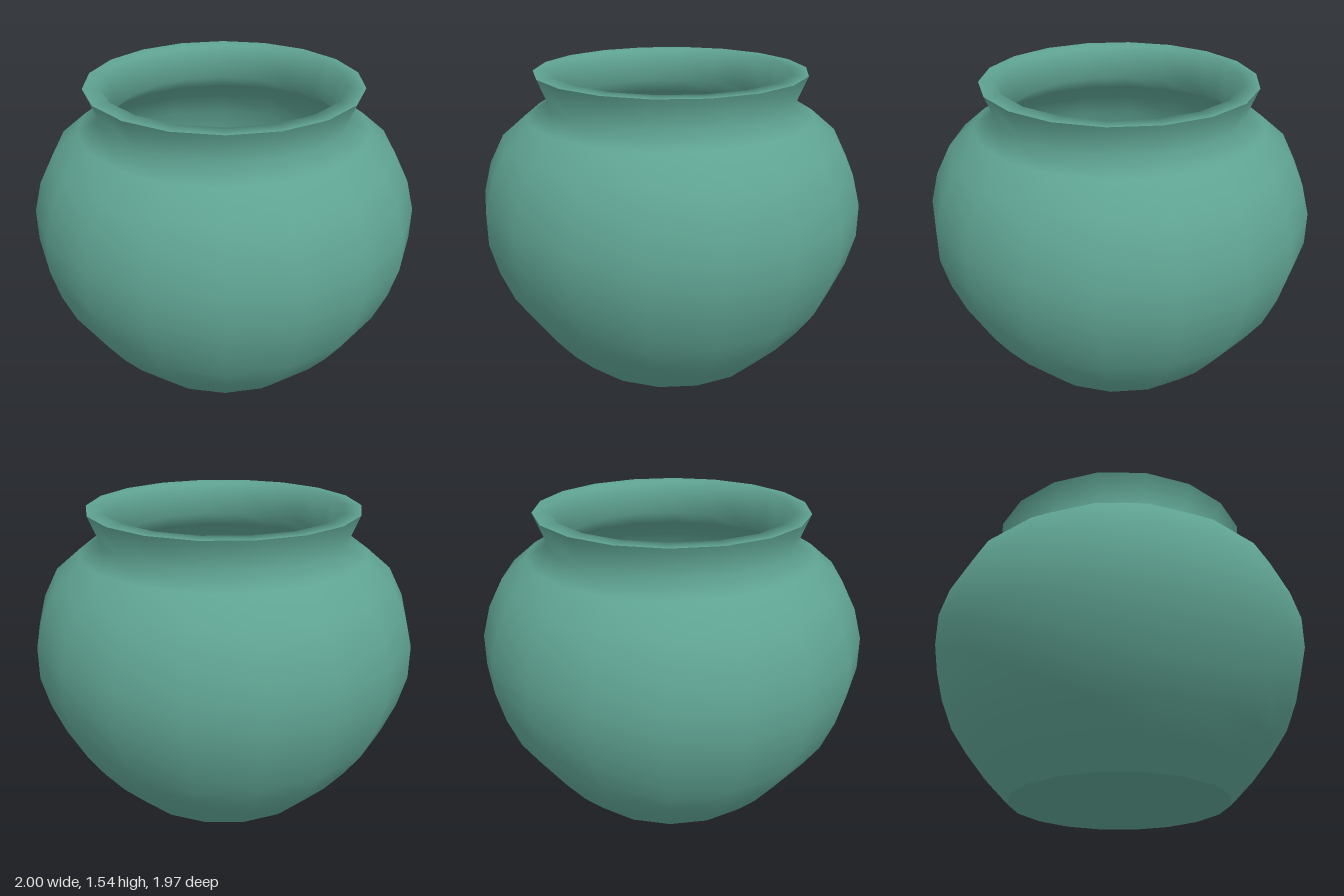
import * as THREE from 'three';

const SIDES = 18;

export function createModel() {
  const pot = new THREE.Group();
  pot.name = 'pot';
  const glaze = new THREE.MeshStandardMaterial({ color: 0x5fa392 });

  // Turns a profile of [radius, height] points; a vertex column lies on the x axis.
  function turn(name, profile) {
    const points = profile.map(([r, y]) => new THREE.Vector2(r, y));
    const geometry = new THREE.LatheGeometry(points, SIDES, Math.PI / 2);
    const mesh = new THREE.Mesh(geometry, glaze);
    mesh.name = name;
    pot.add(mesh);
  }

  // Flat underside
  turn('base', [[0, 0], [0.57, 0]]);

  // Round belly, pinched neck and flared collar
  turn('outerWall', [
    [0.57, 0], [0.69, 0.125], [0.8, 0.265], [0.89, 0.4], [0.957, 0.565],
    [1, 0.73], [1, 0.9], [0.957, 1.06], [0.88, 1.21], [0.75, 1.32],
    [0.64, 1.385], [0.705, 1.545],
  ]);

  // Lip, inner throat, hollow and floor
  turn('rimAndInside', [
    [0.705, 1.545], [0.62, 1.545], [0.56, 1.375], [0.69, 1.28], [0.83, 1.17],
    [0.9, 1.04], [0.94, 0.89], [0.94, 0.74], [0.9, 0.585], [0.83, 0.43],
    [0.745, 0.3], [0.64, 0.17], [0.54, 0.06], [0, 0.06],
  ]);

  return pot;
}
